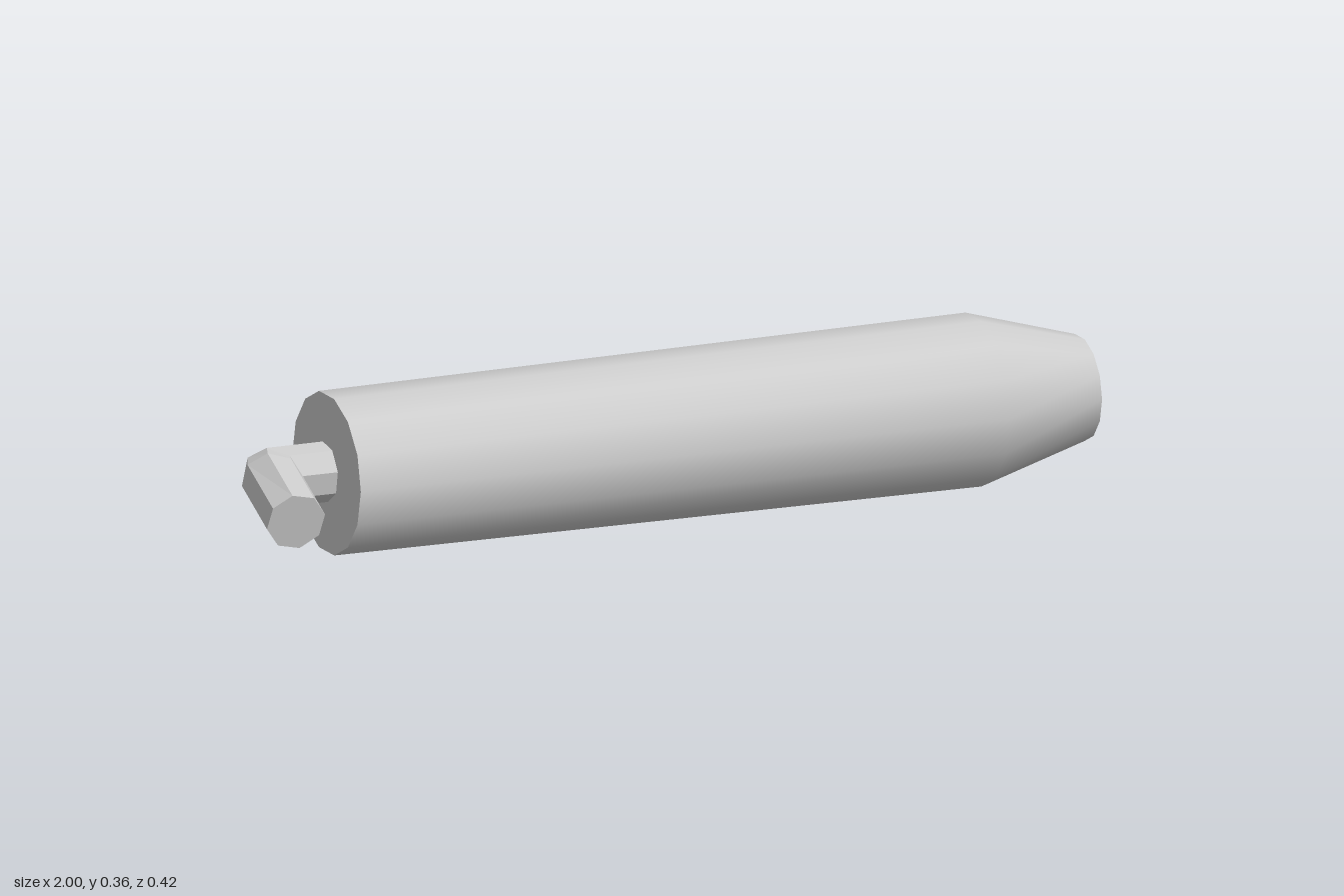
import * as THREE from 'three';
import { toCreasedNormals } from 'three/addons/utils/BufferGeometryUtils.js';

const V = (x, y, z) => new THREE.Vector3(x, y, z);

// Skin through oval rings, each given by a centre and two half-axes; the last ring is capped
function loft(rings, sides, turn) {
  const loops = rings.map(([c, e, v]) => Array.from({ length: sides }, (_, i) => {
    const a = turn + (i / sides) * Math.PI * 2;
    return c.clone().addScaledVector(e, Math.cos(a)).addScaledVector(v, Math.sin(a));
  }));
  const points = [];
  for (let r = 0; r < loops.length - 1; r++) {
    for (let i = 0; i < sides; i++) {
      const j = (i + 1) % sides, a = loops[r], b = loops[r + 1];
      points.push(a[i], a[j], b[i], a[j], b[j], b[i]);
    }
  }
  const end = loops[loops.length - 1];
  for (let i = 0; i < sides; i++) points.push(rings[rings.length - 1][0], end[i], end[(i + 1) % sides]);
  const geometry = new THREE.BufferGeometry().setFromPoints(points);
  geometry.computeVertexNormals();
  return geometry;
}

export function createModel() {
  const group = new THREE.Group();
  const grey = new THREE.MeshStandardMaterial({ color: 0xcccccc });
  grey.name = 'lightGrey';

  // Long barrel, slightly widening, with a tapered nose
  const profile = [[0, -0.77], [0.177, -0.77], [0.187, 0.75], [0.115, 1], [0, 1]]
    .map(([r, h]) => new THREE.Vector2(r, h));
  const barrel = new THREE.Mesh(toCreasedNormals(new THREE.LatheGeometry(profile, 14), 0.7), grey);
  barrel.name = 'barrel';
  barrel.rotation.z = -Math.PI / 2;
  barrel.position.set(0, 0.183, -0.0185);
  group.add(barrel);

  // Bent octagonal pipe leaving the rear end, then turning forward and down
  const pipe = new THREE.Mesh(loft([
    [V(-0.765, 0.185, -0.024), V(0, 0, 0.065), V(0, 0.065, 0)],
    [V(-0.893, 0.185, -0.024), V(0.0425, 0, 0.064), V(0, 0.065, 0)],
    [V(-0.905, 0.183, 0), V(0.055, 0, 0.04), V(0, 0.065, 0.008)],
    [V(-0.938, 0.143, 0.193), V(0.063, 0, 0.012), V(0, 0.063, 0.0135)],
  ], 8, 0.21), grey);
  pipe.name = 'bentPipe';
  group.add(pipe);

  return group;
}
